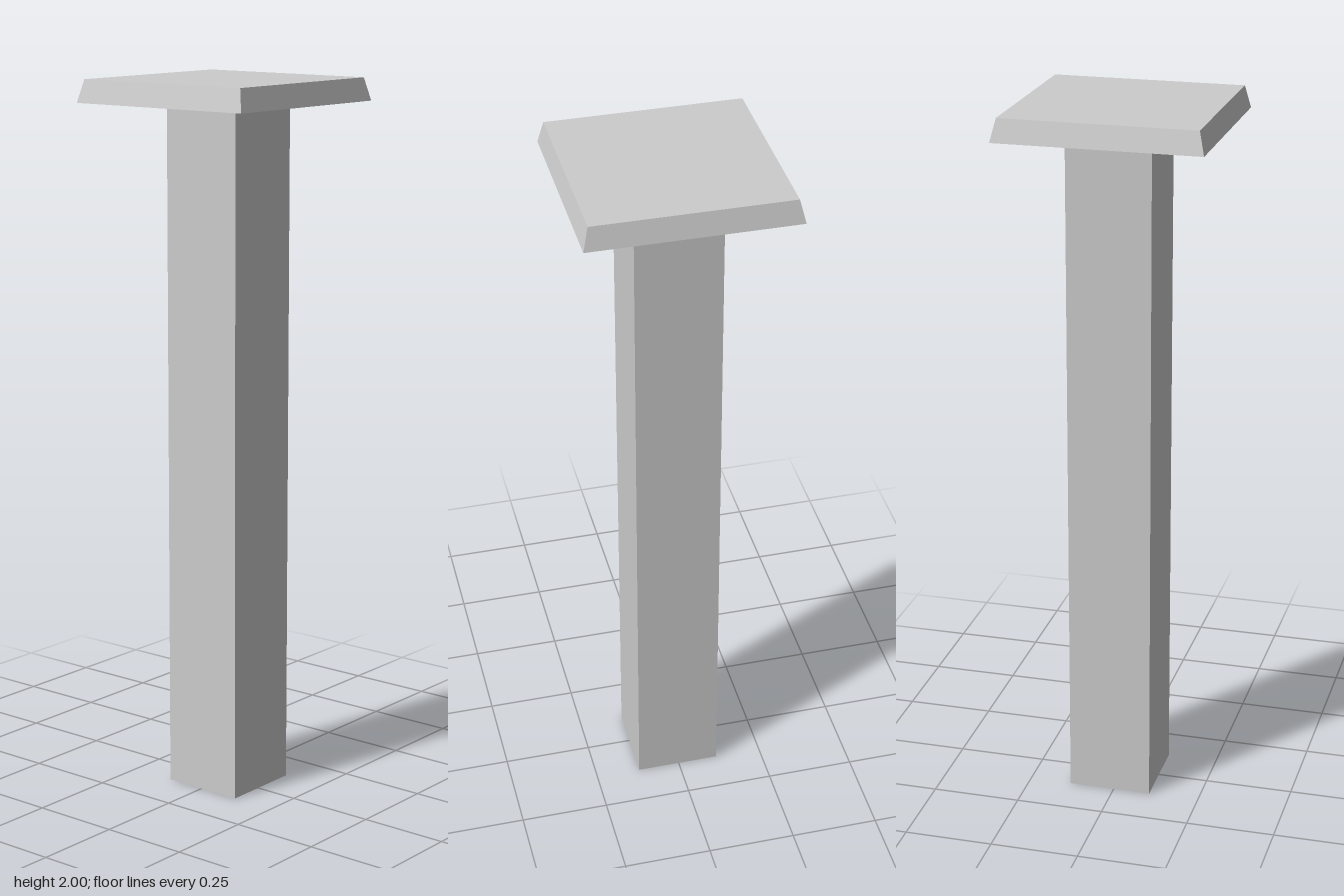
import * as THREE from 'three';

export function createModel() {
  const group = new THREE.Group();
  const grey = new THREE.MeshStandardMaterial({ color: 0xcccccc });
  grey.name = 'plain grey';

  // Box whose top may be narrower than its base, standing on y = bottom
  function block(name, width, depth, bottom, top, x = 0, z = 0, taper = 1) {
    const height = top - bottom;
    const box = new THREE.BoxGeometry(width, height, depth);
    const pos = box.attributes.position;
    for (let i = 0; i < pos.count; i++) {
      if (pos.getY(i) > 0) {
        pos.setX(i, pos.getX(i) * taper);
        pos.setZ(i, pos.getZ(i) * taper);
      }
    }
    const geometry = box.toNonIndexed();
    geometry.computeVertexNormals();
    const mesh = new THREE.Mesh(geometry, grey);
    mesh.name = name;
    mesh.position.set(x, bottom + height / 2, z);
    group.add(mesh);
  }

  // Square post, set slightly off the cap's centre
  block('post', 0.236, 0.238, 0, 1.937, 0.012, 0.003);
  // Cap with sloping sides, and the shallow square pad under it
  block('cap', 0.566, 0.566, 1.937, 2, 0, 0, 0.947);
  block('capPad', 0.42, 0.42, 1.934, 1.937);

  return group;
}
